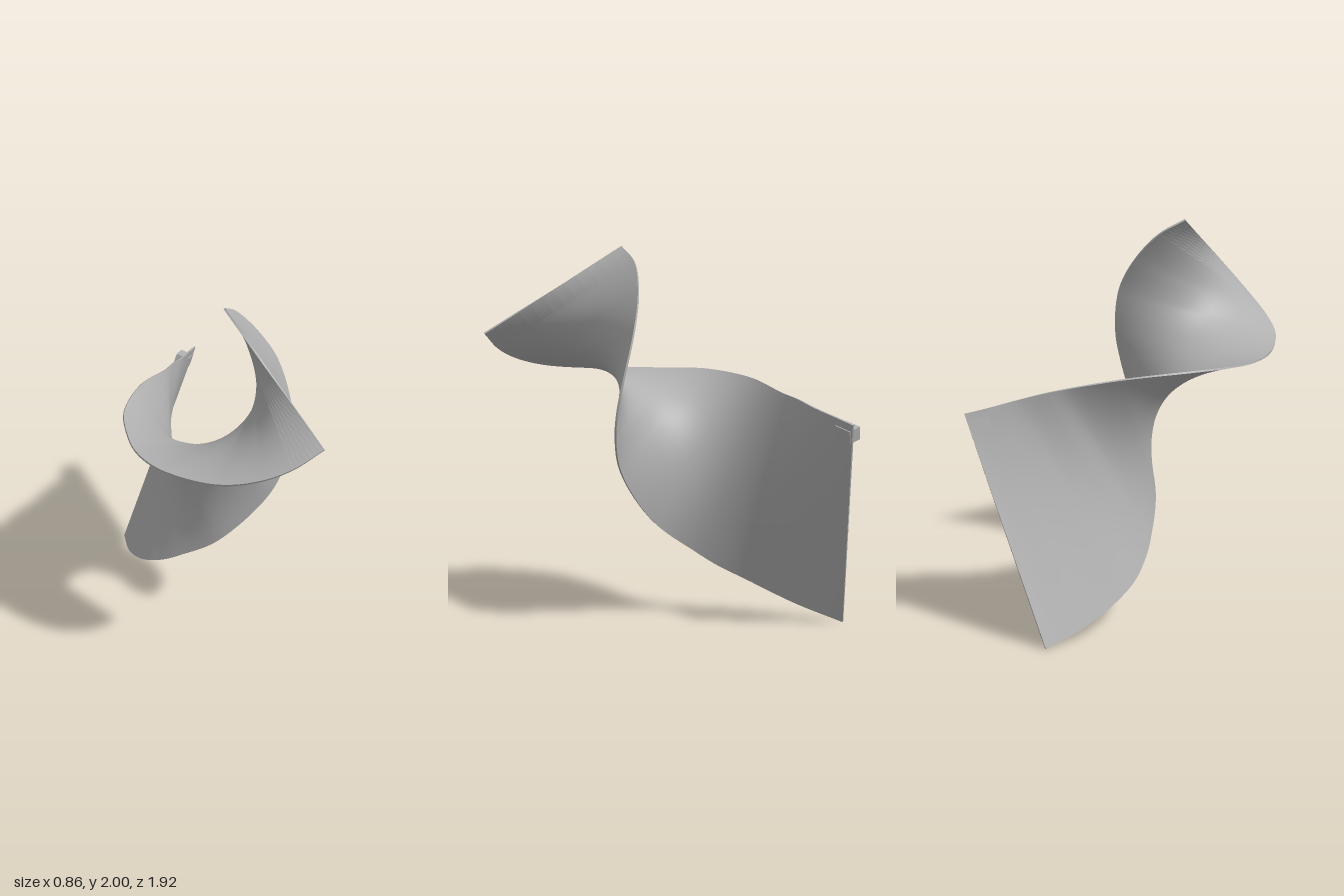
import * as THREE from 'three';
import { mergeGeometries } from 'three/addons/utils/BufferGeometryUtils.js';

// Matching points of the two edge curves; each pair is joined by a straight ruling.
const UPPER = [
  [0.08, 1.14, -0.955], [0.03, 1.165, -0.85], [-0.03, 1.2, -0.71], [-0.09, 1.23, -0.6],
  [-0.14, 1.25, -0.5], [-0.3, 1.3, -0.26], [-0.42, 1.32, 0.05], [-0.43, 1.315, 0.25],
  [-0.4, 1.31, 0.45], [-0.3, 1.315, 0.64], [-0.07, 1.345, 0.85], [0.11, 1.395, 0.93],
  [0.265, 1.46, 0.955], [0.415, 1.55, 0.945],
];
const LOWER = [
  [-0.37, 0.005, -0.77], [-0.365, 0.08, -0.5], [-0.31, 0.2, -0.23], [-0.23, 0.28, -0.1],
  [-0.14, 0.37, 0.0], [0.05, 0.55, 0.15], [0.3, 0.85, 0.215], [0.39, 1.03, 0.2],
  [0.425, 1.19, 0.17], [0.42, 1.35, 0.135], [0.35, 1.59, 0.11], [0.24, 1.77, 0.14],
  [0.12, 1.92, 0.22], [0.045, 1.995, 0.33],
];
const HALF_THICKNESS = 0.005;

const curve = (pts) => new THREE.CatmullRomCurve3(pts.map((p) => new THREE.Vector3(...p)));
const upper = curve(UPPER);
const lower = curve(LOWER);

// Point on the ruled surface: u runs along the ribbon, v from lower to upper edge.
const surface = (u, v) => lower.getPoint(u).lerp(upper.getPoint(u), v);

function surfaceNormal(u, v) {
  const e = 0.002;
  const du = surface(Math.min(u + e, 1), v).sub(surface(Math.max(u - e, 0), v));
  const dv = upper.getPoint(u).sub(lower.getPoint(u));
  return du.cross(dv).normalize();
}

// Regular grid of points fn(s, t) for s, t in 0..1.
function grid(fn, n, m) {
  const pos = [];
  const index = [];
  for (let i = 0; i <= n; i++) {
    for (let j = 0; j <= m; j++) pos.push(...fn(i / n, j / m).toArray());
  }
  for (let i = 0; i < n; i++) {
    for (let j = 0; j < m; j++) {
      const a = i * (m + 1) + j;
      const b = a + m + 1;
      index.push(a, b, a + 1, b, b + 1, a + 1);
    }
  }
  const g = new THREE.BufferGeometry();
  g.setAttribute('position', new THREE.Float32BufferAttribute(pos, 3));
  g.setIndex(index);
  g.computeVertexNormals();
  return g;
}

// Thin solid sheet over the part of the ribbon between u0 and u1.
function sheet(u0, u1, n, m) {
  const at = (s, v, w) => {
    const u = u0 + (u1 - u0) * s;
    return surface(u, v).addScaledVector(surfaceNormal(u, v), (2 * w - 1) * HALF_THICKNESS);
  };
  return mergeGeometries([
    grid((s, t) => at(s, t, 1), n, m), // faces
    grid((s, t) => at(1 - s, t, 0), n, m),
    grid((s, t) => at(s, 0, t), n, 1), // rims
    grid((s, t) => at(1 - s, 1, t), n, 1),
    grid((s, t) => at(1, s, t), m, 1),
    grid((s, t) => at(0, 1 - s, t), m, 1),
  ]);
}

export function createModel() {
  const group = new THREE.Group();
  group.name = 'twistedRibbon';
  const grey = new THREE.MeshStandardMaterial({ color: 0xb0b0b0 });
  grey.name = 'plain grey';
  const add = (name, geometry) => {
    const mesh = new THREE.Mesh(geometry, grey);
    mesh.name = name;
    group.add(mesh);
    return mesh;
  };

  // Smooth sweeping blade
  const split = (UPPER.length - 2) / (UPPER.length - 1);
  add('blade', sheet(0, split, 144, 24));

  // Faceted tip fanning out in narrow strips
  const tip = sheet(split, 1, 7, 12).toNonIndexed();
  tip.computeVertexNormals();
  add('fannedTip', tip);

  // Small block standing on the outer face near the start of the upper edge
  const along = surface(0.02, 0.95).sub(surface(0, 0.95)).normalize();
  const up = surface(0, 1).sub(surface(0, 0));
  up.addScaledVector(along, -up.dot(along)).normalize();
  const out = along.clone().cross(up);
  const block = add('block', new THREE.BoxGeometry(0.1, 0.07, 0.075));
  block.quaternion.setFromRotationMatrix(new THREE.Matrix4().makeBasis(along, up, out));
  block.position.set(0.005, 1.09, -0.9);

  return group;
}
